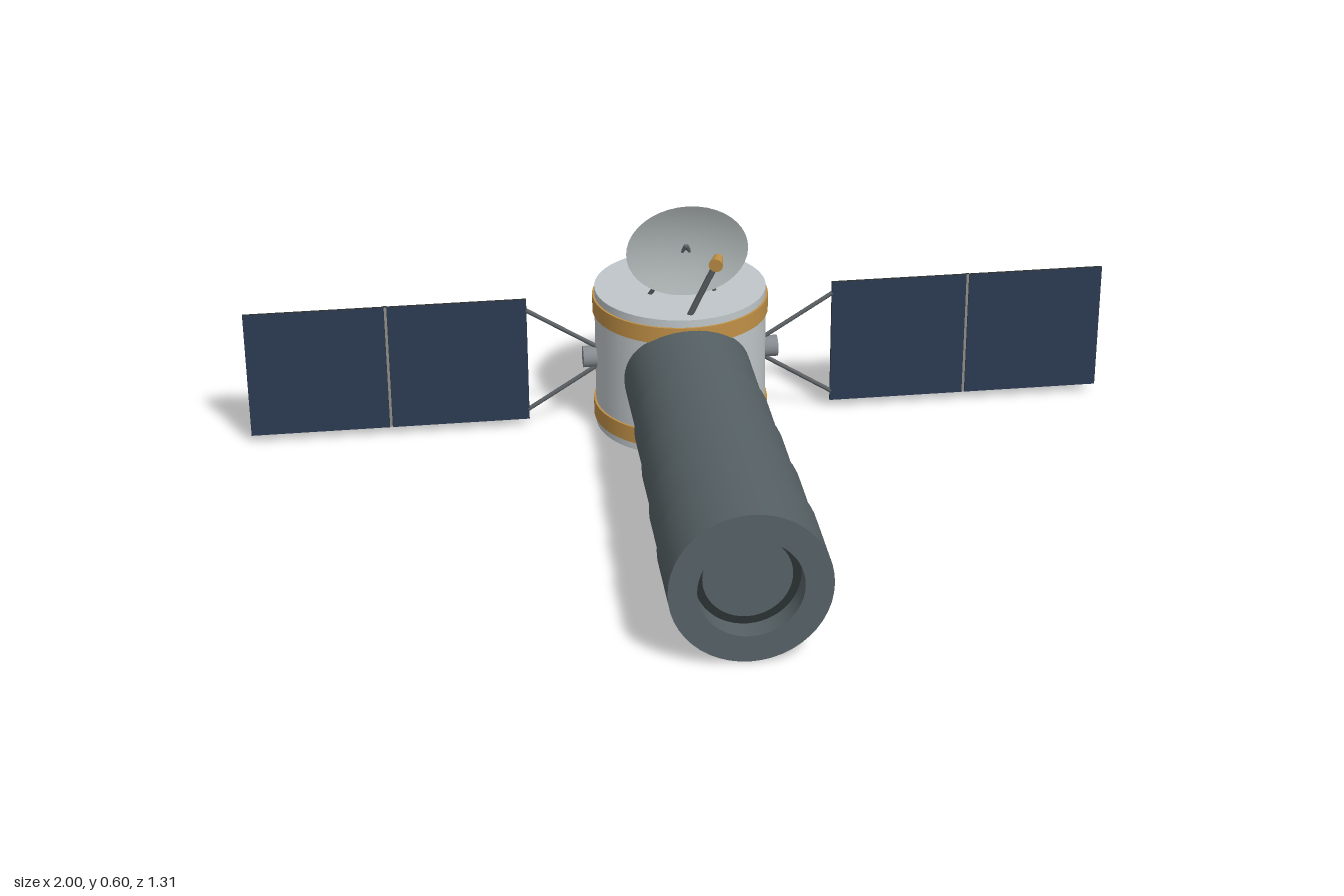
import * as THREE from 'three';

const mat = (name, color, side = THREE.FrontSide) => {
  const m = new THREE.MeshStandardMaterial({ color, side });
  m.name = name;
  return m;
};

export function createModel() {
  const root = new THREE.Group();
  root.name = 'spaceTelescope';
  const silver = mat('silver', 0xc0c6c9);
  const dishGrey = mat('dishGrey', 0xb2bab9, THREE.DoubleSide);
  const tubeGrey = mat('tubeGrey', 0x566165);
  const darkGrey = mat('darkGrey', 0x2a3032);
  const gold = mat('gold', 0xc09046);
  const strutGrey = mat('strutGrey', 0x5c6165);
  const hubGrey = mat('hubGrey', 0x858b90);
  const cellBlue = mat('cellBlue', 0x2c3b52);
  const panelBack = mat('panelBack', 0x85878e);
  const seamTan = mat('seamTan', 0x8f8d86);

  const add = (name, geo, material, x = 0, y = 0, z = 0, parent = root) => {
    const m = new THREE.Mesh(geo, material);
    m.name = name;
    m.position.set(x, y, z);
    parent.add(m);
    return m;
  };
  // Round bar between two points
  const bar = (name, a, b, r, material, parent = root) => {
    const p = new THREE.Vector3(...a), q = new THREE.Vector3(...b);
    const d = q.clone().sub(p);
    const m = add(name, new THREE.CylinderGeometry(r, r, d.length(), 10), material, 0, 0, 0, parent);
    m.position.copy(p).add(q).multiplyScalar(0.5);
    m.quaternion.setFromUnitVectors(new THREE.Vector3(0, 1, 0), d.normalize());
  };

  const BZ = -0.45, MID = 0.171;

  // Equipment drum with two gold bands
  add('drum', new THREE.CylinderGeometry(0.198, 0.198, 0.341, 48), silver, 0, 0.1705, BZ);
  for (const y of [0.039, 0.303])
    add('goldBand', new THREE.CylinderGeometry(0.203, 0.203, 0.04, 48), gold, 0, y, BZ);

  // Stepped telescope tube, widest at the front
  const cuts = [0.653, 0.475, 0.298, 0.117, -0.065, -0.4];
  const radii = [0.168, 0.163, 0.157, 0.152, 0.146];
  radii.forEach((r, i) => {
    const len = cuts[i] - cuts[i + 1];
    const geo = new THREE.CylinderGeometry(r, r, len, 48, 1, i === 0).rotateX(Math.PI / 2);
    add('tubeSection', geo, tubeGrey, 0, MID, (cuts[i] + cuts[i + 1]) / 2);
  });
  add('tubeStep', new THREE.RingGeometry(0.1, 0.168, 48).rotateY(Math.PI), tubeGrey, 0, MID, cuts[1]);

  // Front aperture: rim, recess wall, dark ring and floor
  add('apertureRim', new THREE.RingGeometry(0.109, 0.168, 48), tubeGrey, 0, MID, 0.653);
  const wall = new THREE.CylinderGeometry(0.109, 0.109, 0.05, 48, 1, true).rotateX(Math.PI / 2);
  wall.index.array.reverse();
  const n = wall.attributes.normal;
  for (let i = 0; i < n.array.length; i++) n.array[i] *= -1;
  add('apertureWall', wall, tubeGrey, 0, MID, 0.628);
  add('apertureRing', new THREE.RingGeometry(0.092, 0.109, 48), darkGrey, 0, MID, 0.603);
  add('apertureFloor', new THREE.CircleGeometry(0.092, 48), tubeGrey, 0, MID, 0.603);

  // Oval dish, leaning slightly forward
  const profile = [];
  for (let i = 0; i <= 8; i++) profile.push(new THREE.Vector2(0.138 * i / 8, 0.022 * (i / 8) ** 2));
  const dishGeo = new THREE.LatheGeometry(profile, 40).rotateX(Math.PI / 2).scale(1, 0.83, 1);
  add('dish', dishGeo, dishGrey, 0, 0.484, -0.339).rotation.x = 0.11;
  for (const s of [-1, 1])
    bar('dishStrut', [s * 0.077, 0.335, -0.412], [0, 0.487, -0.336], 0.005, strutGrey);

  // Feed horn on its slanted mast
  bar('feedMast', [0, 0.335, -0.287], [0.056, 0.472, -0.257], 0.007, strutGrey);
  add('feedHorn', new THREE.CylinderGeometry(0.016, 0.011, 0.036, 16).rotateX(Math.PI / 2),
    gold, 0.058, 0.481, -0.251).rotation.set(0.1, -0.3, 0);

  // Solar wings, one per side
  for (const s of [-1, 1]) {
    const wing = new THREE.Group();
    wing.name = s > 0 ? 'leftWing' : 'rightWing';
    root.add(wing);
    add('hub', new THREE.CylinderGeometry(0.025, 0.025, 0.05, 20).rotateZ(Math.PI / 2),
      hubGrey, s * 0.203, MID, BZ, wing);
    for (const v of [-1, 1])
      bar('wingStrut', [s * 0.195, MID + v * 0.024, BZ], [s * 0.358, MID + v * 0.127, BZ], 0.005, strutGrey, wing);
    for (const cx of [0.5155, 0.8405]) {
      add('panelFrame', new THREE.BoxGeometry(0.319, 0.306, 0.006), darkGrey, s * cx, 0.173, BZ, wing);
      add('solarCells', new THREE.BoxGeometry(0.318, 0.305, 0.002), cellBlue, s * cx, 0.173, BZ + 0.003, wing);
      add('panelRear', new THREE.BoxGeometry(0.315, 0.302, 0.002), panelBack, s * cx, 0.173, BZ - 0.003, wing);
      // Broken stitch lines on the rear
      for (const y of [0.053, 0.293])
        for (let i = 0; i < 9; i++)
          add('rearStitch', new THREE.BoxGeometry(0.02, 0.003, 0.001), darkGrey,
            s * (cx - 0.14 + i * 0.035), y, BZ - 0.0042, wing);
    }
    add('panelSeam', new THREE.BoxGeometry(0.006, 0.304, 0.003), seamTan, s * 0.678, 0.173, BZ + 0.001, wing);
    add('rearSeam', new THREE.BoxGeometry(0.008, 0.306, 0.003), darkGrey, s * 0.678, 0.173, BZ - 0.004, wing);
  }
  return root;
}
